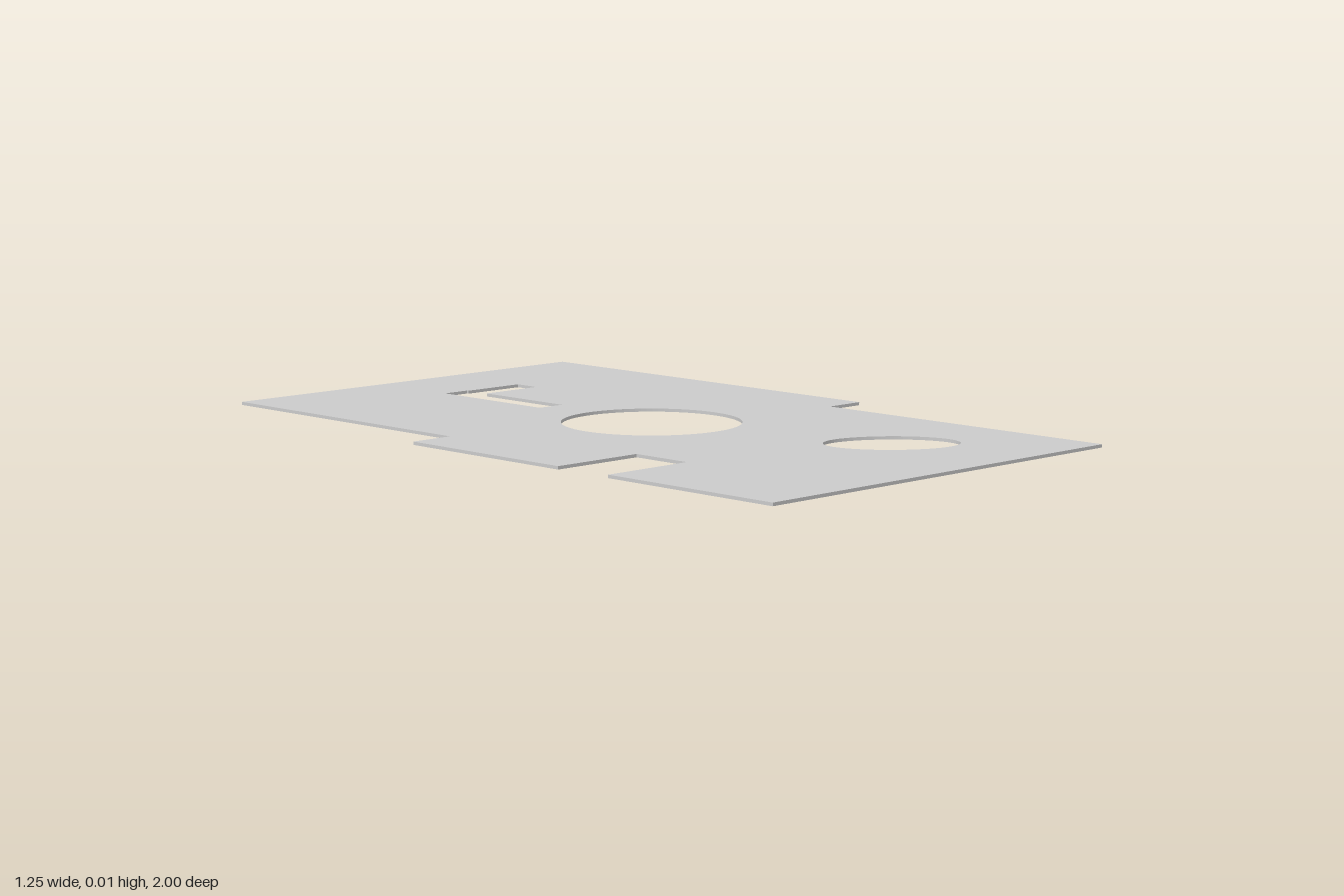
import * as THREE from 'three';

const THICKNESS = 0.008;

const points = (list) => list.map(([x, z]) => new THREE.Vector2(x, z));

// Round or oval hole as a closed path
function ovalHole(x, z, rx, rz, tilt = 0) {
  const path = new THREE.Path();
  path.absellipse(x, z, rx, rz, 0, Math.PI * 2, false, tilt);
  return path;
}

export function createModel() {
  const group = new THREE.Group();

  // Stepped outline with an edge notch, drawn as (x, z)
  const outline = new THREE.Shape(points([
    [-0.51, -1], [0.626, -1], [0.626, 0.127], [0.514, 0.127], [0.514, 1],
    [-0.626, 1], [-0.626, 0.493], [-0.376, 0.493], [-0.376, 0.328],
    [-0.626, 0.328], [-0.626, -0.18], [-0.51, -0.18],
  ]));

  // L-shaped slot, central round hole and tilted oval hole
  const slot = new THREE.Path(points([
    [-0.032, -0.748], [0.045, -0.748], [0.045, -0.743], [0.222, -0.743],
    [0.222, -0.67], [0.045, -0.67], [0.045, -0.379], [-0.032, -0.379],
  ]));
  outline.holes.push(
    slot,
    ovalHole(0.004, -0.008, 0.226, 0.226),
    ovalHole(0.172, 0.637, 0.165, 0.105, 0.703),
  );

  // Lay the plate flat, with its underside on the ground
  const geometry = new THREE.ExtrudeGeometry(outline, {
    depth: THICKNESS, bevelEnabled: false, curveSegments: 48,
  });
  geometry.rotateX(Math.PI / 2);
  geometry.translate(0, THICKNESS, 0);

  const plate = new THREE.Mesh(geometry, new THREE.MeshStandardMaterial({ color: 0xcccccc }));
  plate.name = 'perforatedPlate';
  group.add(plate);
  return group;
}
